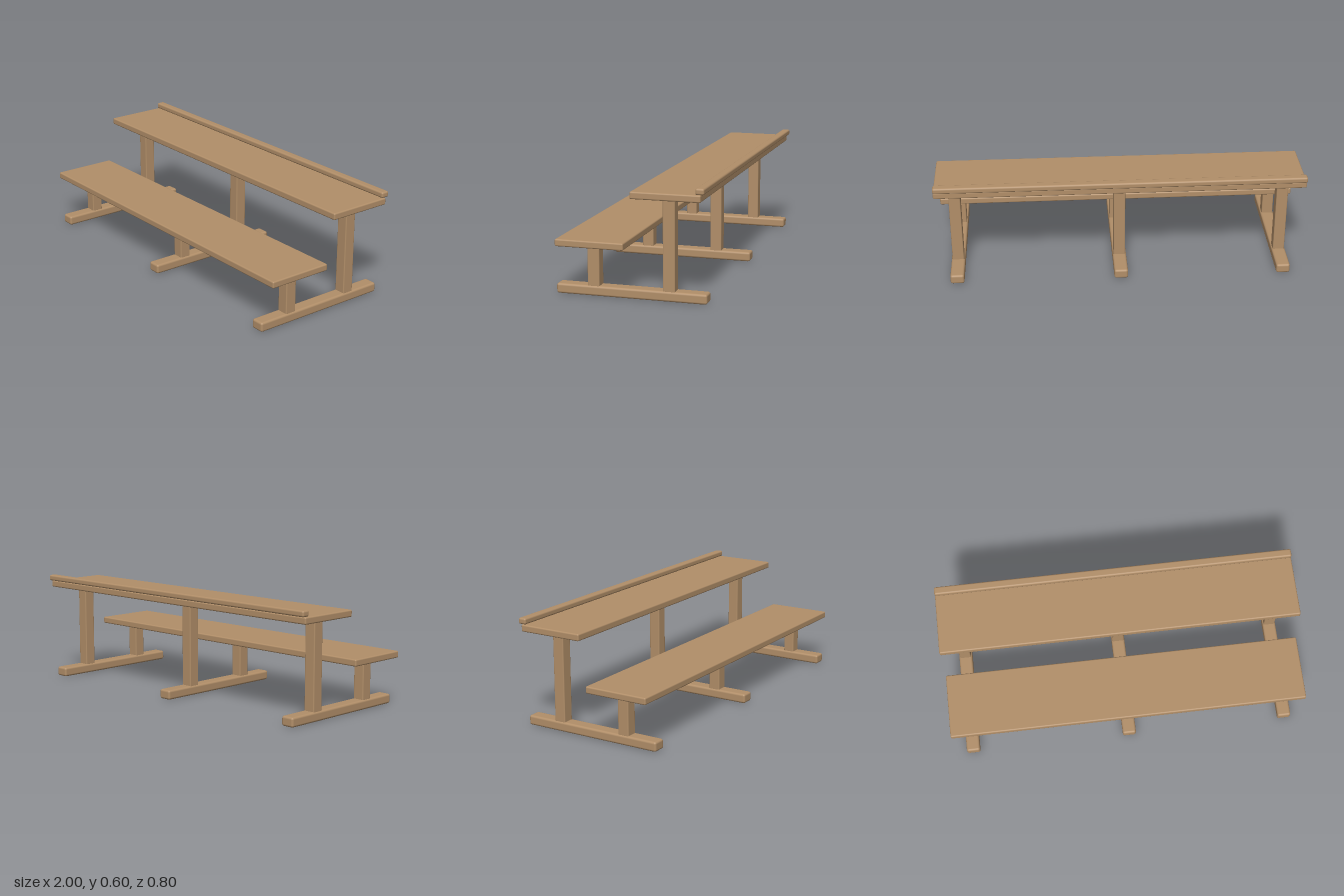
import * as THREE from 'three';
import { RoundedBoxGeometry } from 'three/addons/geometries/RoundedBoxGeometry.js';

export function createModel() {
  const model = new THREE.Group();
  model.name = 'deskWithBench';
  const wood = new THREE.MeshStandardMaterial({ color: 0xb28f69 });
  wood.name = 'tan wood';

  // Softened timber given by its extents along each axis
  function timber(name, [x0, x1], [y0, y1], [z0, z1], radius, parent = model) {
    const geometry = new RoundedBoxGeometry(x1 - x0, y1 - y0, z1 - z0, 2, radius);
    const mesh = new THREE.Mesh(geometry, wood);
    mesh.name = name;
    mesh.position.set((x0 + x1) / 2, (y0 + y1) / 2, (z0 + z1) / 2);
    parent.add(mesh);
  }

  // Long boards
  timber('benchSeat', [-1, 1], [0.262, 0.3], [0.018, 0.382], 0.008);
  timber('deskTop', [-1, 1], [0.528, 0.566], [-0.382, -0.018], 0.008);
  timber('backRail', [-1, 1], [0.567, 0.6], [-0.4, -0.354], 0.01);

  // Three trestles: a floor runner carrying a bench post and a desk post
  for (const x of [-0.9, 0, 0.9]) {
    const trestle = new THREE.Group();
    trestle.name = 'trestle';
    trestle.position.x = x;
    timber('floorRunner', [-0.038, 0.038], [0, 0.053], [-0.4, 0.4], 0.012, trestle);
    timber('benchPost', [-0.032, 0.032], [0.046, 0.27], [0.168, 0.232], 0.006, trestle);
    timber('deskPost', [-0.032, 0.032], [0.046, 0.536], [-0.232, -0.168], 0.006, trestle);
    model.add(trestle);
  }
  return model;
}
